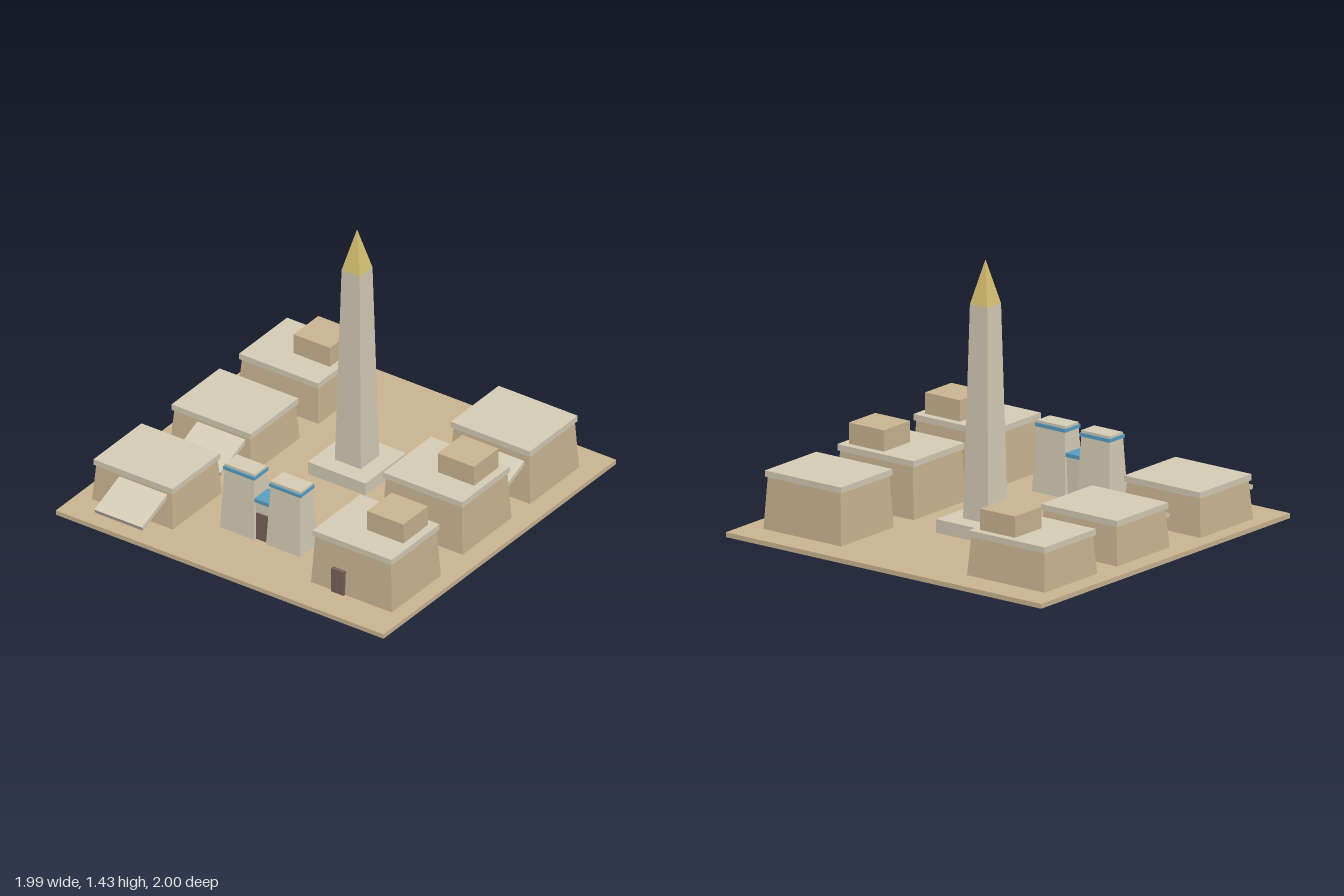
import * as THREE from 'three';

const mat = (name, color) => {
  const m = new THREE.MeshStandardMaterial({ color });
  m.name = name;
  return m;
};

export function createModel() {
  const sand = mat('sandstone', 0xcbb592);
  const stone = mat('limestone', 0xd6cdb7);
  const gold = mat('gold', 0xd6c072);
  const blue = mat('blueTrim', 0x5b9fc4);
  const wood = mat('darkWood', 0x786259);

  const model = new THREE.Group();
  model.name = 'templeVillage';

  const group = (name) => {
    const g = new THREE.Group();
    g.name = name;
    model.add(g);
    return g;
  };

  // Tapered block between heights y0 and y1; tw, td are the top width and depth
  const block = (parent, name, material, x, z, y0, y1, w, d, tw = w, td = d) => {
    const geo = new THREE.BoxGeometry(w, y1 - y0, d);
    const p = geo.attributes.position;
    for (let i = 0; i < p.count; i++) {
      if (p.getY(i) > 0) {
        p.setX(i, p.getX(i) * tw / w);
        p.setZ(i, p.getZ(i) * td / d);
      }
    }
    geo.computeVertexNormals();
    const mesh = new THREE.Mesh(geo, material);
    mesh.name = name;
    mesh.position.set(x, (y0 + y1) / 2, z);
    parent.add(mesh);
    return mesh;
  };

  const floor = 0.025;
  block(model, 'ground', sand, 0, -0.005, 0, floor, 1.99, 1.99);

  // Houses: centre, wall height, and either a roof room or an awning
  const houses = [
    { x: -0.645, z: -0.628, h: 0.20, room: true },
    { x: -0.645, z: -0.05, h: 0.20, awning: true },
    { x: -0.665, z: 0.59, h: 0.20, awning: true },
    { x: 0.64, z: -0.628, h: 0.27, awning: true },
    { x: 0.64, z: -0.05, h: 0.27, room: true },
    { x: 0.665, z: 0.59, h: 0.27, room: true },
  ];
  for (const { x, z, h, room, awning } of houses) {
    const g = group('house');
    const top = floor + h;
    block(g, 'walls', sand, x, z, floor, top, 0.49, 0.42, 0.46, 0.39);
    block(g, 'roofSlab', stone, x, z, top, top + 0.032, 0.48, 0.41);
    block(g, 'door', wood, x - 0.077, z + 0.2, 0.02, floor + h * 0.5, 0.076, 0.046);
    if (room) block(g, 'roofRoom', sand, x + 0.088, z - 0.06, top + 0.032, top + 0.142, 0.22, 0.21);
    if (awning) {
      const y = floor + h * 0.65;
      const a = block(g, 'awning', stone, x + 0.057, z + 0.3, y - 0.0125, y + 0.0125, 0.29, 0.23);
      a.rotation.x = 0.38;
    }
  }

  // Obelisk on its plinth
  const ob = group('obelisk');
  const oz = -0.185;
  block(ob, 'plinth', stone, 0, oz, floor, 0.095, 0.35, 0.35);
  block(ob, 'lowerShaft', stone, 0, oz, 0.095, 0.69, 0.158, 0.158, 0.132, 0.132);
  block(ob, 'upperShaft', stone, 0, oz, 0.69, 1.2, 0.132, 0.132, 0.11, 0.11);
  const tip = new THREE.Mesh(
    new THREE.ConeGeometry(0.055 * Math.SQRT2, 0.23, 4, 1).rotateY(Math.PI / 4).toNonIndexed(), gold);
  tip.geometry.computeVertexNormals();
  tip.name = 'goldTip';
  tip.position.set(0, 1.315, oz);
  ob.add(tip);

  // Gateway: two tapered towers joined by a lower wall with a door
  const gate = group('gateway');
  const gz = 0.57;
  for (const s of [-1, 1]) {
    block(gate, 'tower', stone, s * 0.14, gz, floor, 0.36, 0.208, 0.15, 0.178, 0.11);
    block(gate, 'towerTrim', blue, s * 0.14, gz, 0.36, 0.378, 0.19, 0.122);
    block(gate, 'towerCap', stone, s * 0.14, gz, 0.378, 0.39, 0.182, 0.104, 0.182, 0.104);
  }
  block(gate, 'lintelWall', stone, 0, gz, floor, 0.235, 0.1, 0.1);
  block(gate, 'lintelTrim', blue, 0, gz, 0.235, 0.255, 0.1, 0.116);
  block(gate, 'gateDoor', wood, 0, gz + 0.03, 0.02, 0.175, 0.07, 0.06);

  return model;
}
